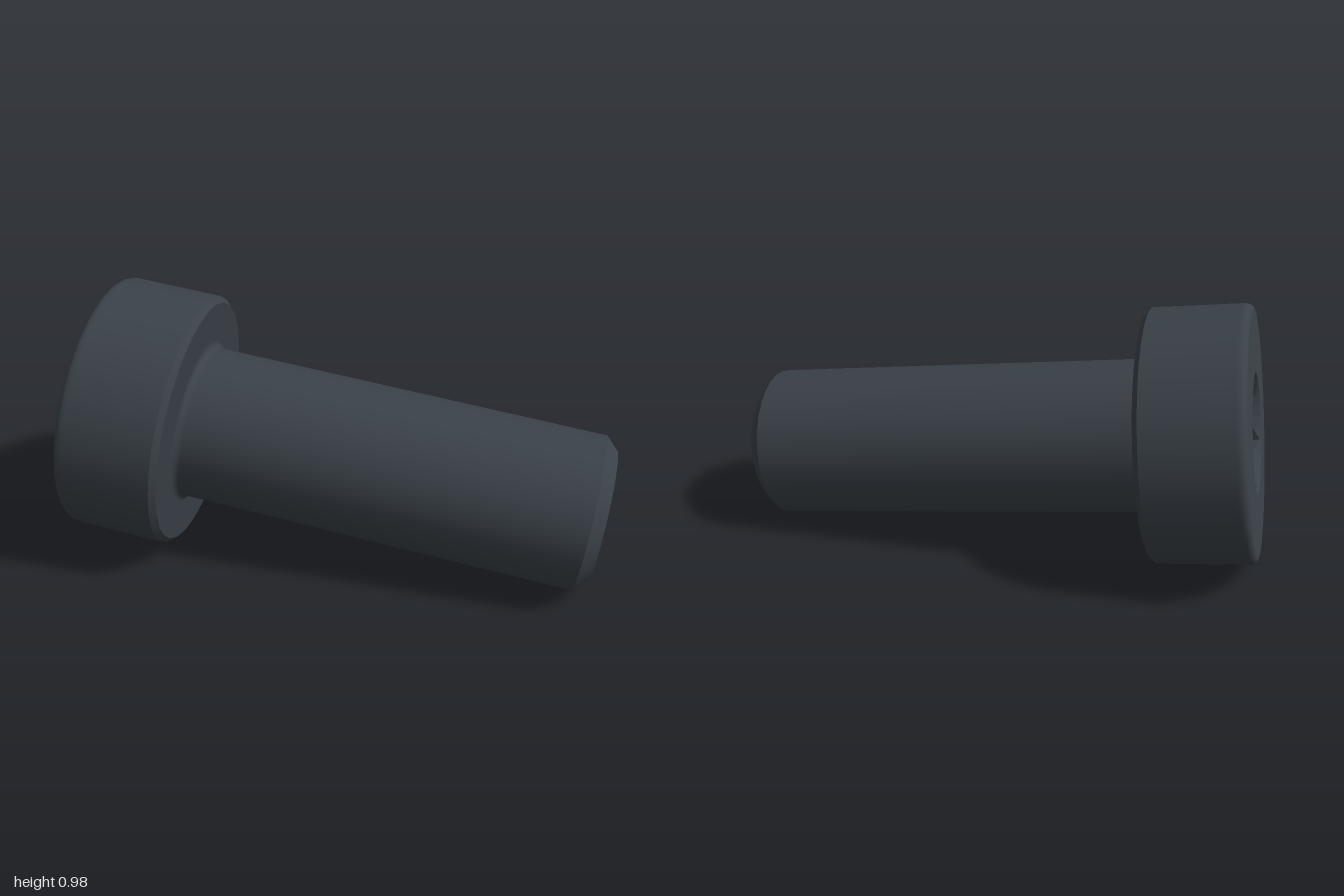
import * as THREE from 'three';

export function createModel() {
  const model = new THREE.Group();
  model.name = 'socketScrew';
  const steel = new THREE.MeshStandardMaterial({ color: 0x3a4148 });
  steel.name = 'darkSteel';

  const SEGMENTS = 30;
  const TIP_R = 0.237, SHANK_R = 0.284, HEAD_R = 0.473;
  const UNDER = 1.514, TOP = 1.893; // heights of the head's two faces above the tip
  const SOCKET_R = 0.221, SOCKET_FLAT = 0.189, SOCKET_DEPTH = 0.26;

  // Each turned section is its own lathe, so the edges between them stay sharp
  const turn = (name, profile) => {
    const points = profile.map(([r, y]) => new THREE.Vector2(r, y));
    const mesh = new THREE.Mesh(new THREE.LatheGeometry(points, SEGMENTS), steel);
    mesh.name = name;
    model.add(mesh);
    return mesh;
  };
  // Quarter-round profile points between two angles
  const arc = (cx, cy, r, from, to, steps = 5) =>
    Array.from({ length: steps + 1 }, (_, i) => {
      const a = from + ((to - from) * i) / steps;
      return [cx + r * Math.cos(a), cy + r * Math.sin(a)];
    });

  // Shank with chamfered tip and a fillet into the head
  turn('tipFace', [[0, 0], [TIP_R, 0]]);
  turn('tipChamfer', [[TIP_R, 0], [SHANK_R, 0.048]]);
  turn('shank', [[SHANK_R, 0.048], [SHANK_R, UNDER - 0.04],
    ...arc(SHANK_R + 0.025, UNDER - 0.025, 0.025, Math.PI, Math.PI / 2)]);

  // Head
  turn('headUnderside', [[SHANK_R + 0.025, UNDER], [HEAD_R - 0.02, UNDER]]);
  turn('headLowerChamfer', [[HEAD_R - 0.02, UNDER], [HEAD_R, UNDER + 0.02]]);
  turn('headSide', [[HEAD_R, UNDER + 0.02], [HEAD_R, TOP - 0.04],
    ...arc(HEAD_R - 0.03, TOP - 0.03, 0.03, 0, Math.PI / 2)]);
  turn('headTop', [[HEAD_R - 0.03, TOP], [SOCKET_R, TOP]]);

  // Hex socket: a lathe whose wall is squeezed to a hexagon below a countersunk rim
  const socket = turn('hexSocket', [[SOCKET_R, TOP], [SOCKET_R, TOP - 0.01],
    [SOCKET_R, TOP - SOCKET_DEPTH], [0, TOP - SOCKET_DEPTH]]);
  const pos = socket.geometry.attributes.position;
  for (let i = 0; i < pos.count; i++) {
    const row = i % 4;
    if (row !== 1 && row !== 2) continue;
    const phi = (Math.floor(i / 4) / SEGMENTS) * Math.PI * 2;
    const offFlat = (phi % (Math.PI / 3)) - Math.PI / 6;
    const r = SOCKET_FLAT / Math.cos(offFlat);
    const y = row === 1 ? TOP - (SOCKET_R - r) * 1.2 : TOP - SOCKET_DEPTH;
    pos.setXYZ(i, r * Math.sin(phi), y, r * Math.cos(phi));
  }
  socket.geometry = socket.geometry.toNonIndexed();
  socket.geometry.computeVertexNormals();

  // Lay the screw down, resting on the tip and the head rim
  const axis = new THREE.Vector3(-0.9704, 0.1262, -0.2057).normalize();
  const side = new THREE.Vector3().crossVectors(axis, new THREE.Vector3(0, 1, 0)).normalize();
  const upright = new THREE.Vector3().crossVectors(side, axis);
  model.quaternion.setFromRotationMatrix(new THREE.Matrix4().makeBasis(side, axis, upright));
  model.position.set(0.943, 0.276, 0.293);

  const root = new THREE.Group();
  root.name = 'screw';
  root.add(model);
  return root;
}
